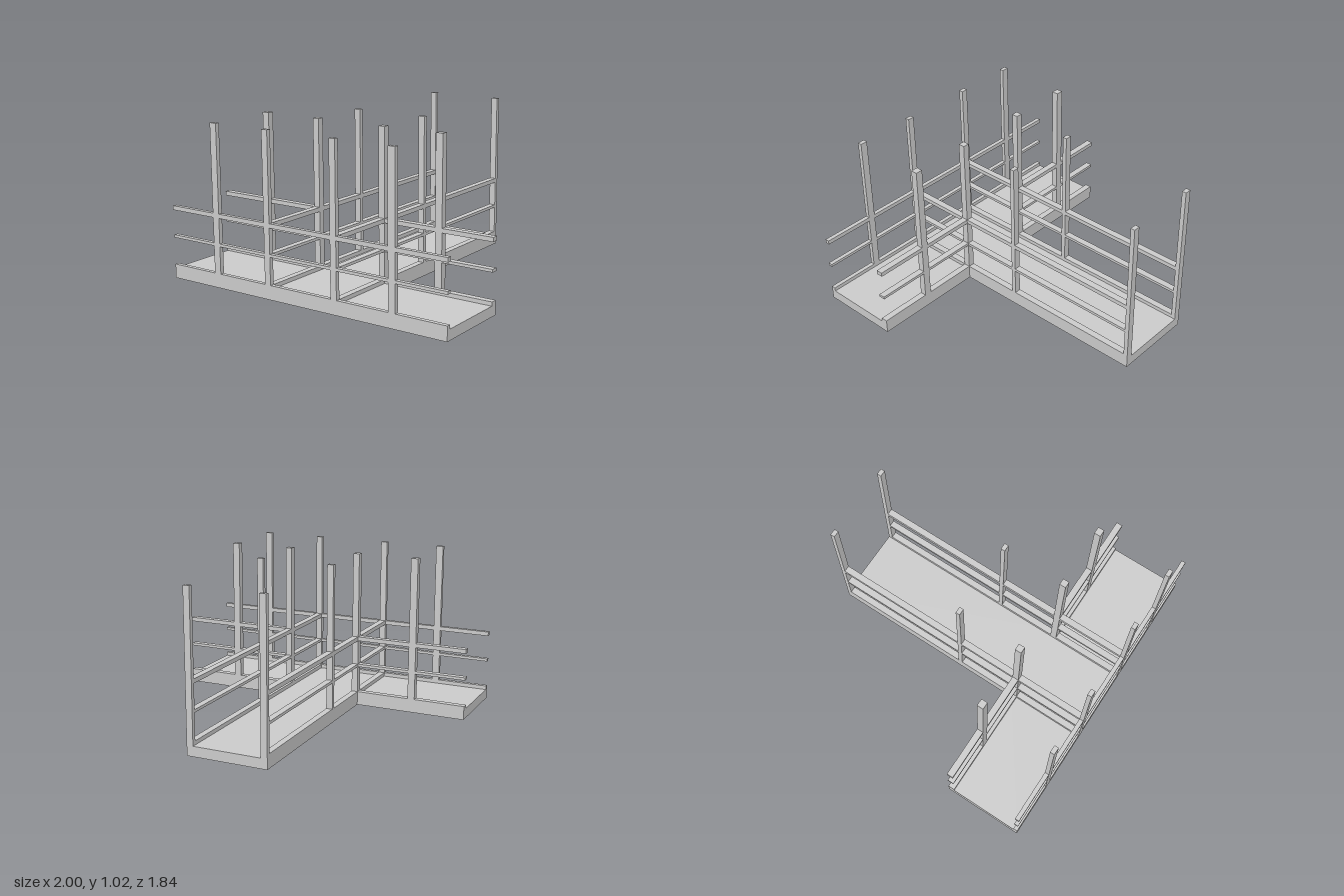
import * as THREE from 'three';

export function createModel() {
  const model = new THREE.Group();
  const material = new THREE.MeshStandardMaterial({ color: 0xcccccc, flatShading: true });

  // Box given by its min and max on each axis
  function box(name, [x0, x1], [y0, y1], [z0, z1]) {
    const mesh = new THREE.Mesh(new THREE.BoxGeometry(x1 - x0, y1 - y0, z1 - z0), material);
    mesh.position.set((x0 + x1) / 2, (y0 + y1) / 2, (z0 + z1) / 2);
    mesh.name = name;
    model.add(mesh);
  }
  const mirror = ([a, b], s) => (s > 0 ? [a, b] : [-b, -a]);

  const END = 0.92;                 // front and back limit
  const frontEdge = [0.892, END];   // z band of the front edge
  const innerEdge = [0.4, 0.442];   // z band of the crossbar's back edge
  const stemEdge = [0.222, 0.264];  // x band of the walkway's sides
  const floorTop = 0.065, curbTop = 0.09, postTop = 1.02;
  const railHeights = [[0.263, 0.281], [0.44, 0.467]];

  // T-shaped floor, drawn in x and -z, then laid flat
  const w = stemEdge[1], zi = innerEdge[0];
  const outline = new THREE.Shape([
    [-1, -END], [1, -END], [1, -zi], [w, -zi], [w, END], [-w, END], [-w, -zi], [-1, -zi],
  ].map(([x, y]) => new THREE.Vector2(x, y)));
  const floorGeometry = new THREE.ExtrudeGeometry(outline, { depth: floorTop, bevelEnabled: false });
  floorGeometry.rotateX(-Math.PI / 2);
  const floor = new THREE.Mesh(floorGeometry, material);
  floor.name = 'floor';
  model.add(floor);

  // Curbs and the rails above them share the same plan
  const levels = [['curb', [floorTop, curbTop]], ...railHeights.map((h) => ['rail', h])];
  for (const [kind, h] of levels) {
    box(kind + 'Front', [-1, 1], h, frontEdge);
    for (const s of [1, -1]) {
      box(kind + 'Inner', mirror([stemEdge[0], 1], s), h, innerEdge);
      box(kind + 'Walkway', mirror(stemEdge, s), h, [-END, END]);
    }
  }

  // Posts: four along each walkway side, two on each crossbar arm
  const height = [floorTop, postTop];
  for (const s of [1, -1]) {
    for (const z of [frontEdge, innerEdge, [-0.014, 0.014], [-END, -0.892]]) {
      box('walkwayPost', mirror(stemEdge, s), height, z);
    }
    for (const z of [frontEdge, innerEdge]) {
      box('armPost', mirror([0.617, 0.664], s), height, z);
    }
  }
  return model;
}
